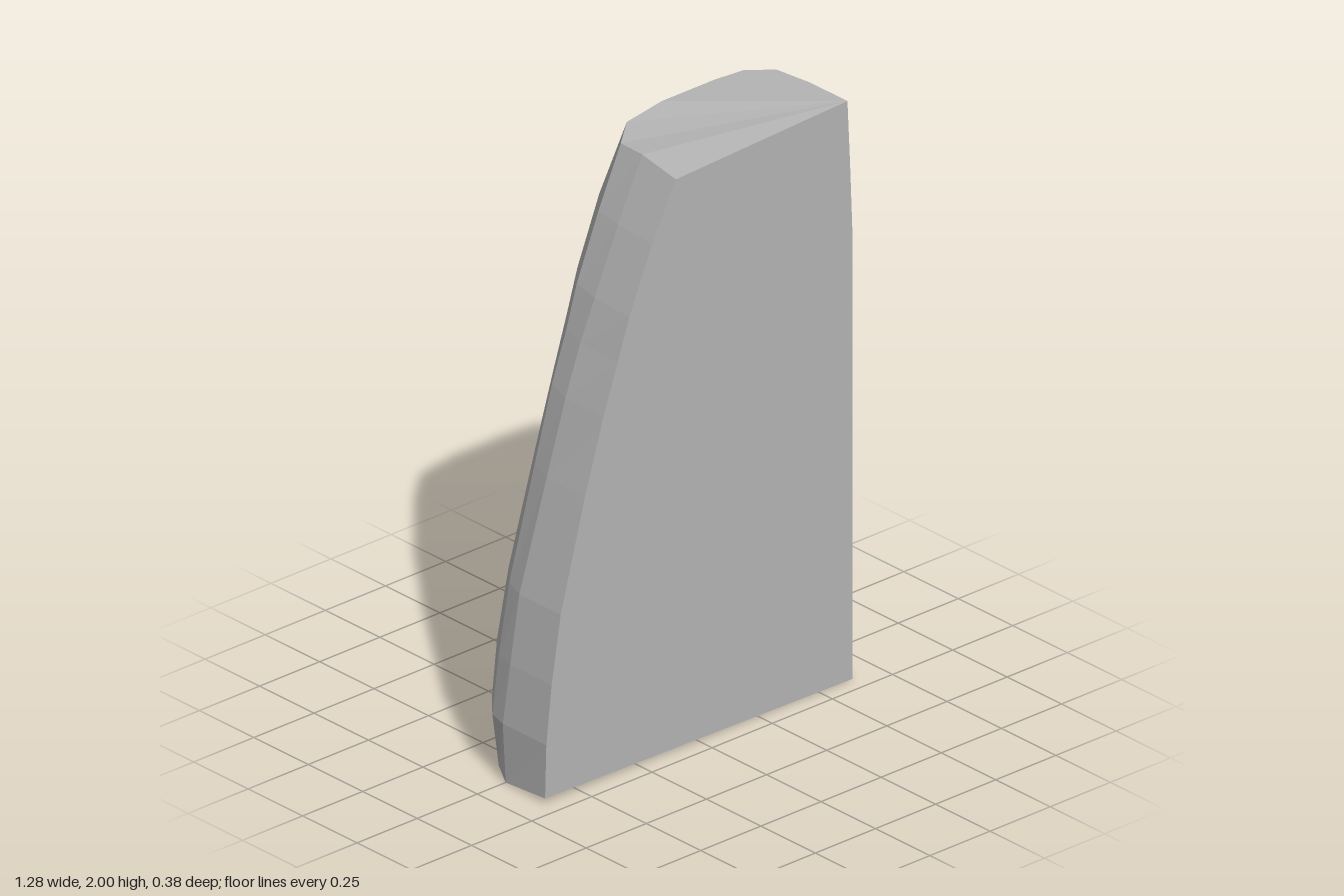
import * as THREE from 'three';

const lerp = THREE.MathUtils.lerp;
const FRONT = 0.19, BACK = -0.194, SIDE = 0.637;

// Height, x of the curved front edge, and how far (x) each rounded back-left point sits from it
const levels = [
  // y,   edge x, offsets of the four rounding points, their z
  [0.0, -0.64, [0.008, 0.07, 0.14, 0.23], [0.0, -0.1, -0.16, BACK]],
  [0.2, -0.635, [0.0, 0.02, 0.09, 0.19], [-0.01, -0.08, -0.16, BACK]],
  [0.4, -0.613, [0.0, 0.025, 0.09, 0.19], [0.0, -0.08, -0.16, BACK]],
  [0.63, -0.575, [0.0, 0.03, 0.1, 0.2], [0.0, -0.08, -0.16, BACK]],
  [1.0, -0.475, [0.004, 0.035, 0.11, 0.22], [0.01, -0.08, -0.16, BACK]],
  [1.25, -0.398, [0.006, 0.035, 0.11, 0.23], [0.01, -0.085, -0.16, BACK]],
  [1.42, -0.338, [0.008, 0.035, 0.11, 0.25], [0.01, -0.085, -0.165, BACK]],
  [1.56, -0.29, [0.01, 0.035, 0.11, 0.26], [0.02, -0.09, -0.17, BACK]],
  [1.78, -0.195, [0.012, 0.03, 0.11, 0.28], [0.02, -0.09, -0.175, BACK]],
  [2.0, -0.097, [0.015, 0.025, 0.13, 0.29], [0.02, -0.09, -0.178, BACK]],
];

// Back-right corner opens from a single point into this bevel at the top
const bevel = [[0.41, BACK], [0.52, -0.183], [0.6, -0.118], [0.617, 0.02]];

function ring([y, edge, offsets, depths], index) {
  const top = index === levels.length - 1;
  const open = Math.max(0, (y - 1.42) / 0.58);
  const points = [[edge, FRONT]];
  offsets.forEach((o, i) => points.push([edge + o, depths[i]]));
  bevel.forEach(([x, z]) => points.push([lerp(SIDE, x, open), lerp(BACK, z, open)]));
  points.push([lerp(SIDE, 0.617, Math.max(0, (y - 1.6) / 0.4)), FRONT]);
  // The top dips toward the curved edge; the base lifts slightly at its front corner
  const dip = [0.03, 0.012, 0.018, 0.012];
  return points.map(([x, z], k) => {
    let h = y;
    if (top) h -= dip[k] ?? 0;
    if (index === 0 && k === 0) h += 0.018;
    return new THREE.Vector3(x, h, z);
  });
}

function buildBody() {
  const rings = levels.map(ring);
  const n = rings[0].length;
  const positions = [];
  const tri = (a, b, c) => {
    const area = b.clone().sub(a).cross(c.clone().sub(a)).length();
    if (area > 1e-7) for (const p of [a, b, c]) positions.push(p.x, p.y, p.z);
  };
  // Walls
  for (let i = 0; i < rings.length - 1; i++) {
    for (let k = 0; k < n; k++) {
      const j = (k + 1) % n;
      const a = rings[i][k], b = rings[i][j], c = rings[i + 1][j], d = rings[i + 1][k];
      tri(b, a, d);
      tri(b, d, c);
    }
  }
  // Base and top
  const base = rings[0], top = rings[rings.length - 1];
  for (let k = 0; k < n - 2; k++) {
    tri(base[n - 1], base[k], base[k + 1]);
    tri(top[n - 1], top[k + 1], top[k]);
  }
  const geometry = new THREE.BufferGeometry();
  geometry.setAttribute('position', new THREE.Float32BufferAttribute(positions, 3));
  geometry.computeVertexNormals();
  return geometry;
}

export function createModel() {
  const group = new THREE.Group();
  group.name = 'taperedSlab';
  const material = new THREE.MeshStandardMaterial({ color: 0xb4b4b4, flatShading: true });
  material.name = 'plain grey';
  const body = new THREE.Mesh(buildBody(), material);
  body.name = 'slabBody';
  group.add(body);
  return group;
}
